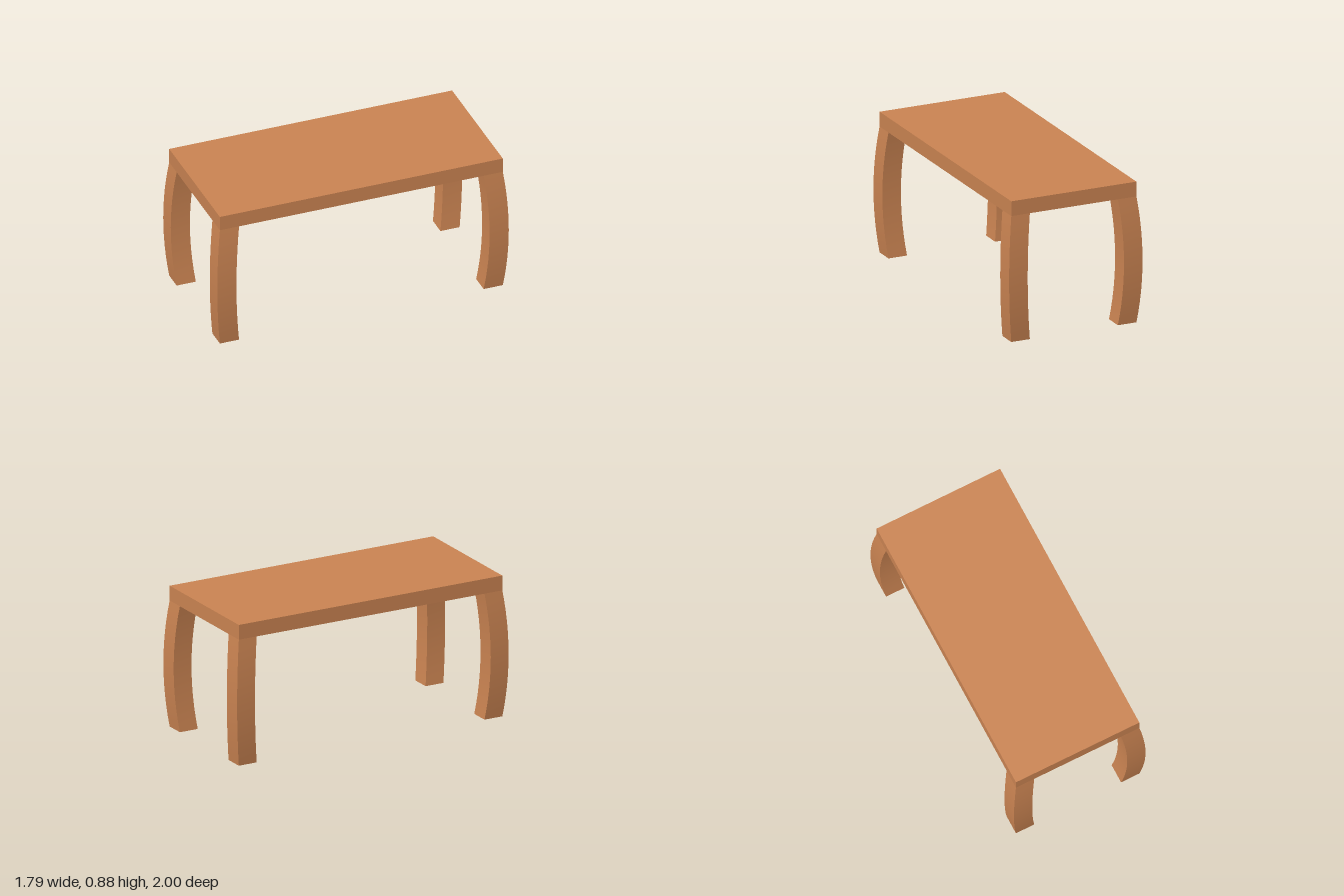
import * as THREE from 'three';

const HALF_LENGTH = 0.893, HALF_WIDTH = 0.408; // table top, half sizes
const HEIGHT = 0.875, LEG_HEIGHT = 0.783;
const LEG = 0.121, BULGE = 0.027;

// Square leg bowed outwards along its diagonal, widest at mid height
function legGeometry(sx, sz) {
  const geometry = new THREE.BoxGeometry(LEG, LEG_HEIGHT, LEG, 1, 12, 1);
  const p = geometry.attributes.position;
  for (let i = 0; i < p.count; i++) {
    const t = (2 * p.getY(i)) / LEG_HEIGHT;
    const d = BULGE * (1 - t * t);
    p.setX(i, p.getX(i) + sx * d);
    p.setZ(i, p.getZ(i) + sz * d);
  }
  geometry.computeVertexNormals();
  return geometry;
}

export function createModel() {
  const wood = new THREE.MeshStandardMaterial({ color: 0xcb8452 });
  wood.name = 'wood';

  const table = new THREE.Group();
  table.name = 'table';
  table.rotation.y = 0.937; // stands at an angle to the front

  // Table top
  const thickness = HEIGHT - LEG_HEIGHT;
  const top = new THREE.Mesh(
    new THREE.BoxGeometry(2 * HALF_LENGTH, thickness, 2 * HALF_WIDTH), wood);
  top.name = 'tableTop';
  top.position.y = HEIGHT - thickness / 2;
  table.add(top);

  // Four legs, flush with the corners at top and bottom
  for (const sx of [-1, 1]) {
    for (const sz of [-1, 1]) {
      const leg = new THREE.Mesh(legGeometry(sx, sz), wood);
      leg.name = 'leg';
      leg.position.set(
        sx * (HALF_LENGTH - LEG / 2), LEG_HEIGHT / 2, sz * (HALF_WIDTH - LEG / 2));
      table.add(leg);
    }
  }

  const model = new THREE.Group();
  model.name = 'model';
  model.add(table);
  return model;
}
